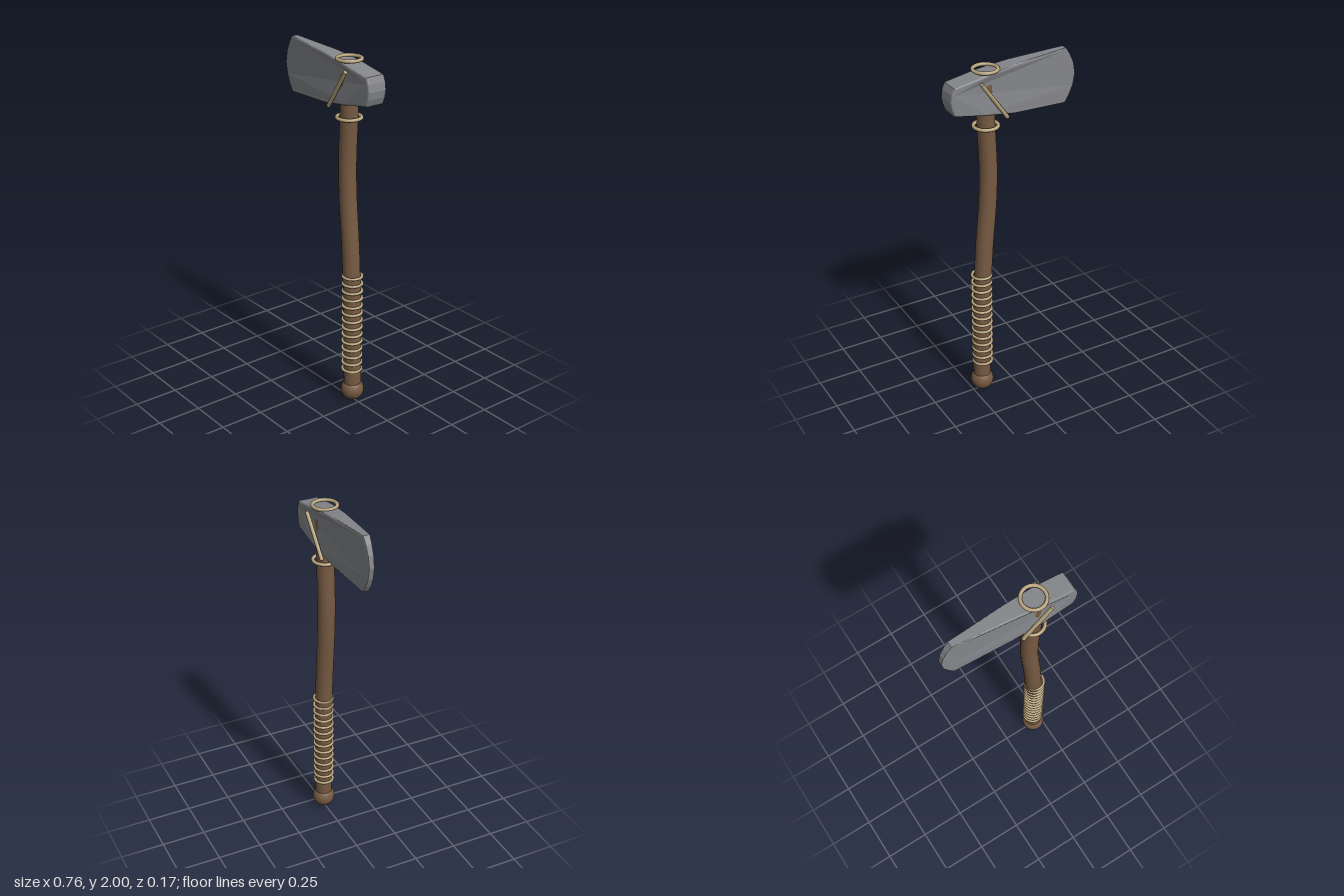
import * as THREE from 'three';

export function createModel() {
  const model = new THREE.Group();
  const wood = new THREE.MeshStandardMaterial({ color: 0x765a42 });
  const steel = new THREE.MeshStandardMaterial({ color: 0x85868a });
  const cord = new THREE.MeshStandardMaterial({ color: 0xb8a57e });

  const add = (name, geometry, material, x = 0, y = 0, z = 0) => {
    const mesh = new THREE.Mesh(geometry, material);
    mesh.name = name;
    mesh.position.set(x, y, z);
    model.add(mesh);
    return mesh;
  };

  // Curved wooden handle, its ends buried in the head and the pommel
  const spine = new THREE.CatmullRomCurve3(
    [[0.193, 0.07], [0.19, 0.35], [0.181, 0.7], [0.167, 0.95], [0.144, 1.22],
      [0.139, 1.42], [0.15, 1.68], [0.153, 1.9]].map(([x, y]) => new THREE.Vector3(x, y, 0))
  );
  add('handle', new THREE.TubeGeometry(spine, 48, 0.049, 20), wood);
  add('pommel', new THREE.SphereGeometry(0.065, 28, 20), wood, 0.193, 0.065);

  // Axe head: bevelled outline, tapered in thickness toward the cutting edge
  const outline = new THREE.Shape([
    [-0.318, 1.692], [0, 1.71], [0.18, 1.74], [0.355, 1.772], [0.37, 1.81], [0.376, 1.848],
    [0.37, 1.89], [0.355, 1.925], [0.18, 1.957], [0, 1.981], [-0.318, 2.0],
    [-0.345, 1.96], [-0.368, 1.91], [-0.38, 1.846], [-0.368, 1.782], [-0.345, 1.732]
  ].map(([x, y]) => new THREE.Vector2(x, y)));
  const bevel = 0.01;
  const headGeometry = new THREE.ExtrudeGeometry(outline, {
    depth: 1.7, bevelThickness: 0.15, bevelSize: bevel, bevelOffset: -bevel, bevelSegments: 3
  });
  headGeometry.translate(0, 0, -0.85);
  const p = headGeometry.attributes.position;
  for (let i = 0; i < p.count; i++) {
    const half = Math.min(0.058, 0.016 + 0.077 * (p.getX(i) + 0.38));
    p.setZ(i, p.getZ(i) * half);
  }
  headGeometry.computeVertexNormals();
  add('axeHead', headGeometry, steel);

  // Cord rings on the grip and around the head joint
  const addRing = (name, radius, tube, x, y) => {
    const ring = add(name, new THREE.TorusGeometry(radius, tube, 10, 36), cord, x, y);
    ring.rotation.x = Math.PI / 2;
  };
  for (let i = 0; i < 14; i++) addRing('gripRing', 0.053, 0.008, 0.187, 0.193 + 0.044 * i);
  for (const y of [1.66, 1.972]) addRing('headRing', 0.065, 0.01, 0.15, y);

  // Diagonal lashings on both cheeks of the head
  const up = new THREE.Vector3(0, 1, 0);
  for (const side of [-1, 1]) {
    const low = new THREE.Vector3(0.056, 1.709, side * 0.063);
    const high = new THREE.Vector3(0.211, 1.925, side * 0.075);
    const along = high.clone().sub(low);
    const lashing = add('headLashing', new THREE.CylinderGeometry(0.011, 0.011, along.length(), 8), cord);
    lashing.position.copy(low).add(high).multiplyScalar(0.5);
    lashing.quaternion.setFromUnitVectors(up, along.normalize());
  }
  return model;
}
